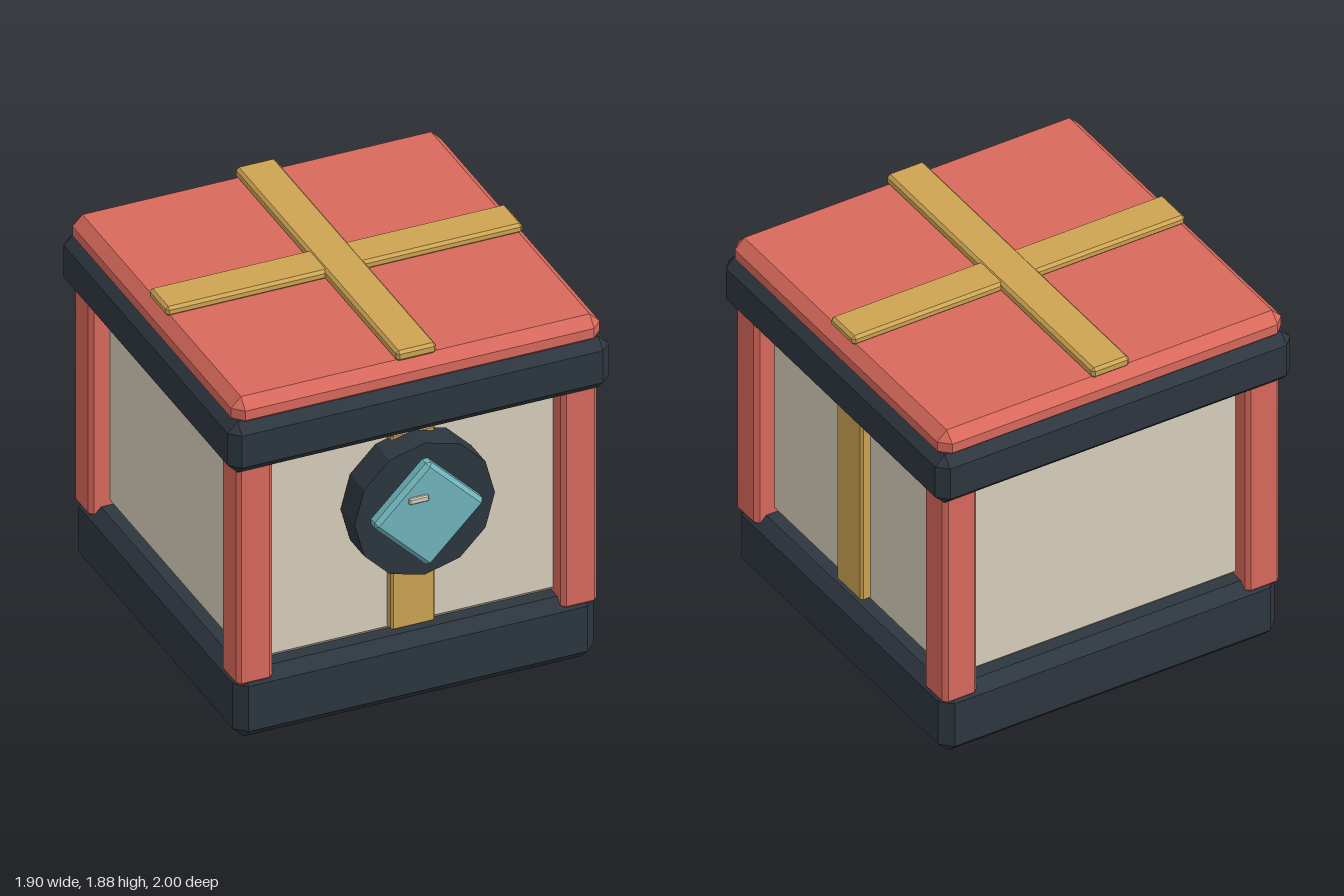
import * as THREE from 'three';
import { ConvexGeometry } from 'three/addons/geometries/ConvexGeometry.js';

const material = (color) => new THREE.MeshStandardMaterial({ color, flatShading: true });

// Box with every edge chamfered by c, centred on its own origin
function chamferBox(w, h, d, c) {
  const [x, y, z] = [w / 2, h / 2, d / 2];
  const points = [];
  for (const sx of [-1, 1]) for (const sy of [-1, 1]) for (const sz of [-1, 1]) {
    points.push(
      new THREE.Vector3(sx * x, sy * (y - c), sz * (z - c)),
      new THREE.Vector3(sx * (x - c), sy * y, sz * (z - c)),
      new THREE.Vector3(sx * (x - c), sy * (y - c), sz * z),
    );
  }
  return new ConvexGeometry(points);
}

export function createModel() {
  const model = new THREE.Group();
  model.name = 'giftCrate';

  const red = material(0xd9695c);
  const dark = material(0x2d363f);
  const cream = material(0xd8cfbc);
  const gold = material(0xcda453);
  const teal = material(0x70b5bc);

  function add(name, geometry, mat, x, y, z) {
    const mesh = new THREE.Mesh(geometry, mat);
    mesh.name = name;
    mesh.position.set(x, y, z);
    model.add(mesh);
    return mesh;
  }
  // Chamfered block given by its extents on each axis
  function block(name, mat, [x0, x1], [y0, y1], [z0, z1], c) {
    return add(name, chamferBox(x1 - x0, y1 - y0, z1 - z0, c), mat,
      (x0 + x1) / 2, (y0 + y1) / 2, (z0 + z1) / 2);
  }

  // Base and cream body
  block('base', dark, [-0.9, 0.9], [0, 0.35], [-0.95, 0.85], 0.055);
  block('body', cream, [-0.8, 0.8], [0.345, 1.455], [-0.85, 0.75], 0.03);

  // Corner posts
  for (const sx of [-1, 1]) for (const sz of [-1, 1]) {
    add('cornerPost', chamferBox(0.18, 1.2, 0.18, 0.02), red, sx * 0.81, 0.9, -0.05 + sz * 0.81);
  }

  // Lid rim and lid
  block('lidRim', dark, [-0.95, 0.95], [1.45, 1.72], [-1, 0.9], 0.05);
  block('lid', red, [-0.92, 0.92], [1.68, 1.83], [-0.97, 0.87], 0.05);

  // Crossed ribbons on the lid
  block('lidRibbonAcross', gold, [-0.89, 0.89], [1.825, 1.875], [-0.15, 0.05], 0.014);
  block('lidRibbonAlong', gold, [-0.1, 0.1], [1.825, 1.88], [-0.94, 0.84], 0.014);

  // Ribbons on the front and one side
  block('frontRibbon', gold, [-0.11, 0.11], [0.375, 1.42], [0.74, 0.8], 0.01);
  block('sideRibbon', gold, [0.79, 0.85], [0.375, 1.415], [-0.155, 0.06], 0.01);

  // Twelve-sided plate, diamond gem and its highlight
  const plate = new THREE.CylinderGeometry(0.35, 0.35, 0.155, 12).rotateX(Math.PI / 2);
  add('emblemPlate', plate, dark, 0, 1.07, 0.8475);
  const gem = add('diamondGem', chamferBox(0.4, 0.4, 0.09, 0.02), teal, 0, 1.07, 0.94);
  gem.rotation.z = Math.PI / 4;
  block('gemHighlight', cream, [-0.11, -0.01], [1.155, 1.187], [0.97, 1], 0.006);

  return model;
}
